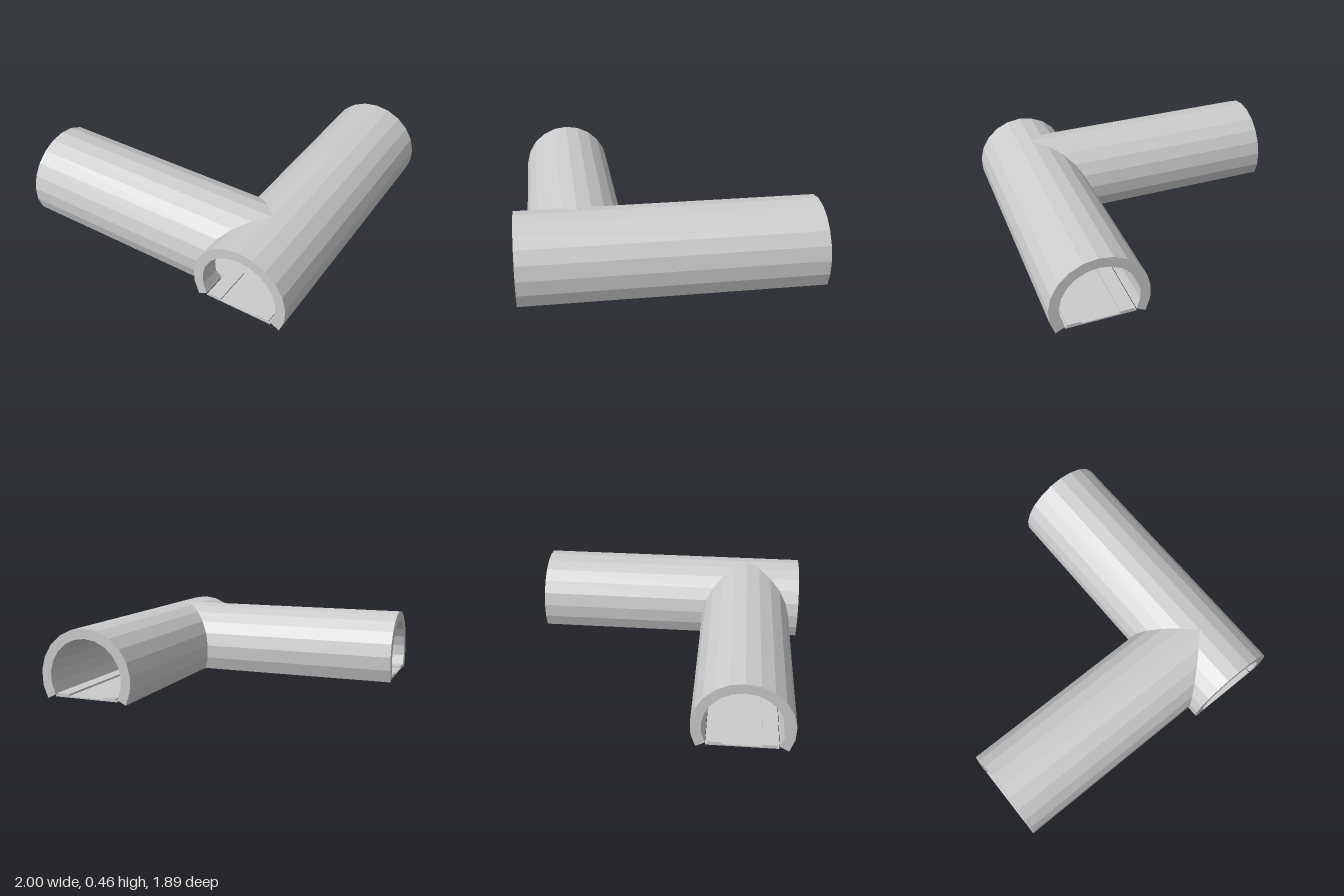
import * as THREE from 'three';

const R_OUT = 0.317, R_IN = 0.252, AXIS_Y = 0.145;
const MAIN_X = 0.682, BRANCH_Z = 0.56, HALF = 0.945;
const A0 = -27.5, STEP = (90 - A0) / 7; // arch facets, 7 per half

// Arched wall running along z; start and end depend on the sideways offset, for mitred joints
function archWall(first, last, start, end) {
  const rings = [];
  for (let i = first; i <= last; i++) {
    const a = THREE.MathUtils.degToRad(A0 + i * STEP);
    const point = (r, at) => {
      const l = r * Math.cos(a);
      return [l, AXIS_Y + r * Math.sin(a), at(l)];
    };
    rings.push([point(R_OUT, start), point(R_OUT, end), point(R_IN, end), point(R_IN, start)]);
  }
  const pos = [];
  const quad = (a, b, c, d) => pos.push(...a, ...b, ...c, ...a, ...c, ...d);
  for (let i = 0; i < rings.length - 1; i++) {
    for (let k = 0; k < 4; k++) {
      const n = (k + 1) % 4;
      quad(rings[i][k], rings[i + 1][k], rings[i + 1][n], rings[i][n]);
    }
  }
  // lips along both long edges
  quad(...rings[0]);
  quad(...rings[rings.length - 1].slice().reverse());
  const geo = new THREE.BufferGeometry();
  geo.setAttribute('position', new THREE.Float32BufferAttribute(pos, 3));
  geo.computeVertexNormals();
  return geo;
}

// Flat slab from a plan outline in [x, z], between two heights
function slab(outline, y0, y1) {
  const shape = new THREE.Shape(outline.map(([x, z]) => new THREE.Vector2(x, -z)));
  const geo = new THREE.ExtrudeGeometry(shape, { depth: y1 - y0, bevelEnabled: false });
  return geo.rotateX(-Math.PI / 2).translate(0, y0, 0);
}

export function createModel() {
  const group = new THREE.Group();
  const material = new THREE.MeshStandardMaterial({ color: 0xcccccc, flatShading: true });
  const add = (name, geo) => {
    const mesh = new THREE.Mesh(geo, material);
    mesh.name = name;
    group.add(mesh);
    return mesh;
  };

  // Main tunnel: one unbroken side, and one side split by the branch opening
  const back = () => -HALF, front = () => HALF;
  add('mainUnbrokenWall', archWall(0, 7, back, front)).position.x = MAIN_X;
  add('mainBackWall', archWall(7, 14, back, l => BRANCH_Z - Math.abs(l))).position.x = MAIN_X;
  add('mainFrontWall', archWall(7, 14, l => BRANCH_Z + Math.abs(l), front)).position.x = MAIN_X;

  // Branch tunnel, mitred into the main one
  const branch = add('branchWall', archWall(0, 14, () => -1, l => MAIN_X - Math.abs(l)));
  branch.rotation.y = Math.PI / 2;
  branch.position.z = BRANCH_Z;

  // T-shaped floor
  const w = 0.222, inner = 0.122, kerb = 0.21;
  const L = MAIN_X - w, R = MAIN_X + w;
  add('floor', slab([
    [L, -HALF], [L, BRANCH_Z - w], [-1, BRANCH_Z - w], [-1, BRANCH_Z + w],
    [L, BRANCH_Z + w], [L, HALF], [R, HALF], [R, -HALF],
  ], 0.014, 0.024));

  // Raised kerbs: one straight, two turning the corner into the branch
  add('straightKerb', slab([
    [MAIN_X + inner, -HALF], [MAIN_X + inner, HALF], [MAIN_X + kerb, HALF], [MAIN_X + kerb, -HALF],
  ], 0.02, 0.037));
  for (const [name, s] of [['backCornerKerb', -1], ['frontCornerKerb', 1]]) {
    const zIn = BRANCH_Z + s * inner, zOut = BRANCH_Z + s * kerb;
    add(name, slab([
      [MAIN_X - inner, s * HALF], [MAIN_X - inner, zIn], [-1, zIn],
      [-1, zOut], [MAIN_X - kerb, zOut], [MAIN_X - kerb, s * HALF],
    ], 0.02, 0.037));
  }
  return group;
}
